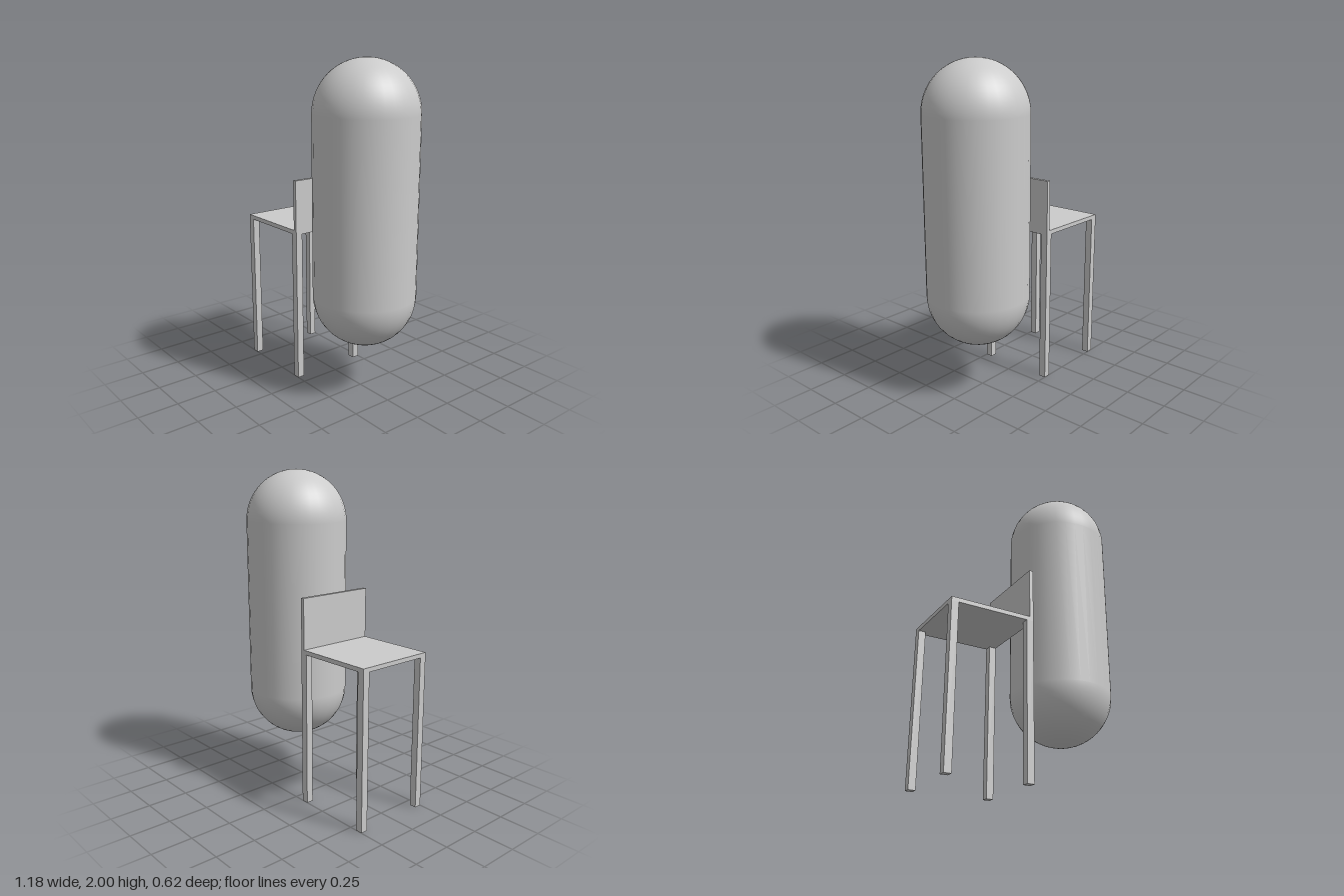
import * as THREE from 'three';

export function createModel() {
  const model = new THREE.Group();
  const material = new THREE.MeshStandardMaterial({ color: 0xcccccc });

  function add(parent, name, geometry, x, y, z) {
    const mesh = new THREE.Mesh(geometry, material);
    mesh.name = name;
    mesh.position.set(x, y, z);
    parent.add(mesh);
  }

  // Tall chair, its back towards +x
  const chair = new THREE.Group();
  chair.name = 'chair';
  model.add(chair);
  const left = -0.065, right = -0.588, half = 0.25;
  const seatBottom = 0.947, seatTop = 0.973, legSize = 0.044;
  add(chair, 'seat', new THREE.BoxGeometry(left - right, seatTop - seatBottom, half * 2),
    (left + right) / 2, (seatTop + seatBottom) / 2, 0);
  const backHeight = 1.281 - seatTop, backDepth = 0.024;
  add(chair, 'backrest', new THREE.BoxGeometry(backDepth, backHeight, half * 2),
    left - backDepth / 2, seatTop + backHeight / 2, 0);

  // Four square legs flush with the seat corners
  for (const x of [left - legSize / 2, right + legSize / 2]) {
    for (const side of [-1, 1]) {
      add(chair, 'leg', new THREE.BoxGeometry(legSize, seatBottom, legSize),
        x, seatBottom / 2, side * (half - legSize / 2));
    }
  }

  // Upright capsule floating beside the chair
  const radius = 0.31, bottom = 0.308, top = 2;
  add(model, 'capsule', new THREE.CapsuleGeometry(radius, top - bottom - radius * 2, 16, 32),
    0.278, (top + bottom) / 2, 0);

  return model;
}
